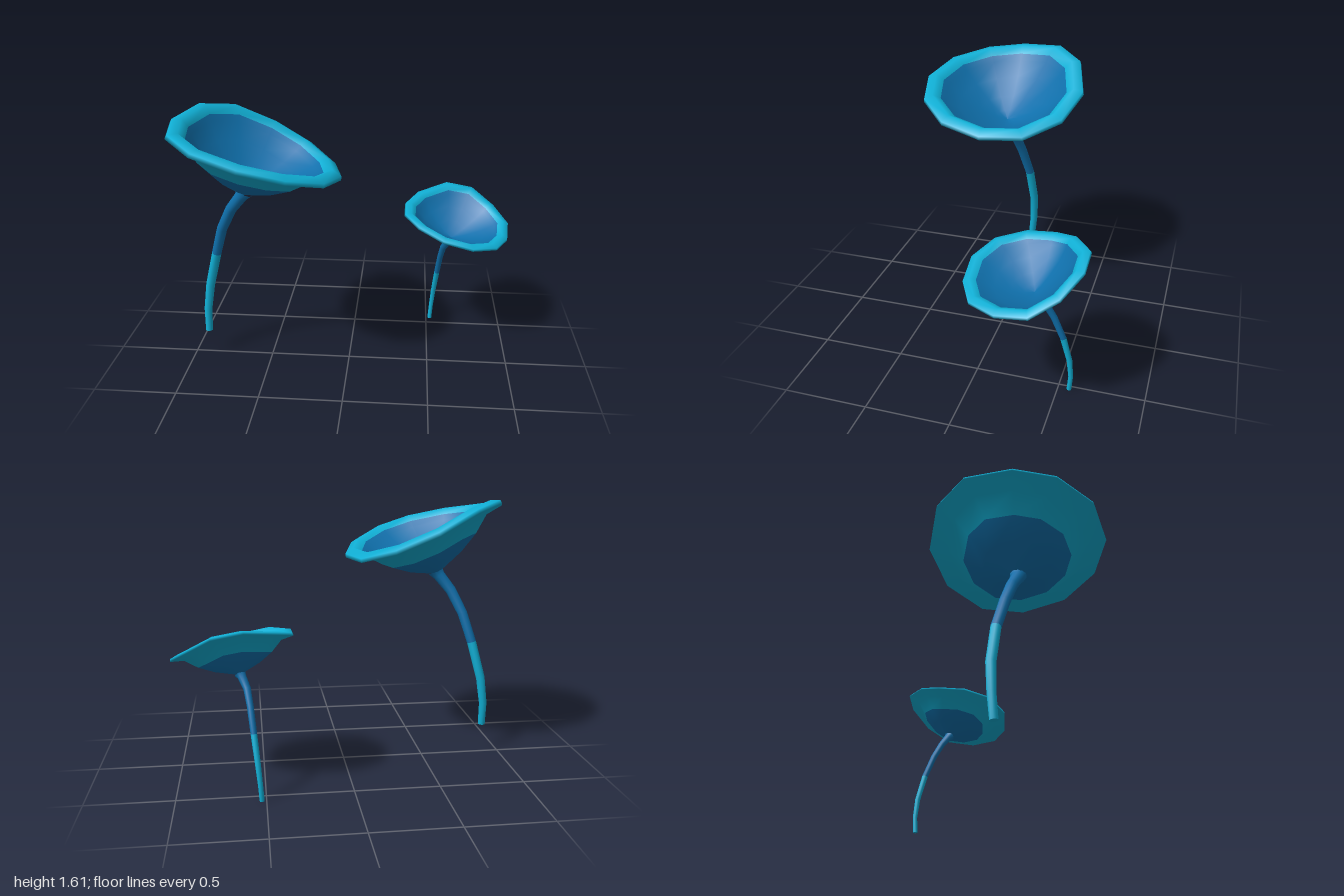
import * as THREE from 'three';

const light = new THREE.MeshStandardMaterial({ color: 0x10b0d6 });
light.name = 'turquoise';
const dark = new THREE.MeshStandardMaterial({ color: 0x0f70ac });
dark.name = 'deepBlue';

// Smooth skin through closed rings of points; isDark(i) colours the band above ring i
function loft(name, rings, isDark) {
  const n = rings[0].length, index = [];
  const geo = new THREE.BufferGeometry().setFromPoints(rings.flat());
  for (let i = 0; i < rings.length - 1; i++) {
    geo.addGroup(index.length, n * 6, isDark(i) ? 1 : 0);
    for (let j = 0; j < n; j++) {
      const k = (j + 1) % n;
      const a = i * n + j, b = i * n + k, c = a + n, d = b + n;
      index.push(a, c, b, b, c, d);
    }
  }
  geo.setIndex(index);
  geo.computeVertexNormals();
  const mesh = new THREE.Mesh(geo, [light, dark]);
  mesh.name = name;
  return mesh;
}

// Bent stem: path rows are x, y, z, radius
function stem(path, firstDark) {
  const pts = path.map(p => new THREE.Vector3(p[0], p[1], p[2]));
  const up = new THREE.Vector3(0, 1, 0);
  const rings = pts.map((p, i) => {
    const dir = pts[Math.min(i + 1, pts.length - 1)].clone()
      .sub(pts[Math.max(i - 1, 0)]).normalize();
    const q = new THREE.Quaternion().setFromUnitVectors(up, dir);
    return Array.from({ length: 10 }, (_, j) => {
      const a = j / 10 * Math.PI * 2;
      return new THREE.Vector3(Math.cos(a), 0, Math.sin(a))
        .multiplyScalar(path[i][3]).applyQuaternion(q).add(p);
    });
  });
  // Foot cap with its own ring so the edge stays sharp
  const foot = loft('stemFoot', [rings[0].map(() => pts[0].clone()), rings[0]], () => false);
  const g = new THREE.Group();
  g.name = 'stem';
  g.add(foot, loft('stemShaft', rings, i => i >= firstDark));
  return g;
}

// Funnel section: share of rim radius, depth below the rim
const profile = [
  [0.07, 1], [0.37, 0.74], [0.6, 0.46], [0.79, 0.13], [1, 0.04], // underside
  [0.99, -0.04], [0.88, -0.1], [0.79, 0.02],                     // lip
  [0.74, 0.14], [0.57, 0.4], [0.34, 0.66], [0.15, 0.83], [0, 0.9], // inside
];

// Tilted funnel cap from its wavy rim
function cap(rim, axis, depth) {
  const pts = rim.map(p => new THREE.Vector3(...p));
  const mid = new THREE.Vector3();
  pts.forEach(p => mid.addScaledVector(p, 1 / pts.length));
  const n = new THREE.Vector3(...axis).normalize();
  const rings = profile.map(([f, d]) =>
    pts.map(p => mid.clone().lerp(p, f).addScaledVector(n, -d * depth)));
  return loft('funnelCap', rings, i => i < 2 || i >= 7);
}

function mushroom(name, ...parts) {
  const g = new THREE.Group();
  g.name = name;
  g.add(...parts);
  return g;
}

export function createModel() {
  const model = new THREE.Group();
  model.name = 'funnelMushrooms';
  model.add(
    mushroom('largeMushroom',
      stem([
        [-0.9, 0.175, 0.03, 0.023], [-0.9, 0.32, 0.018, 0.025], [-0.875, 0.49, 0.012, 0.028],
        [-0.815, 0.72, 0.033, 0.029], [-0.76, 0.9, 0.075, 0.031], [-0.69, 1.04, 0.11, 0.033],
        [-0.62, 1.13, 0.137, 0.037], [-0.595, 1.165, 0.14, 0.05],
      ], 3),
      cap([
        [-0.49, 1.44, -0.38], [-0.26, 1.33, -0.3], [-0.09, 1.26, -0.1], [-0.03, 1.26, 0.15],
        [-0.1, 1.3, 0.41], [-0.28, 1.37, 0.59], [-0.52, 1.44, 0.65], [-0.78, 1.5, 0.57],
        [-0.96, 1.54, 0.37], [-1, 1.57, 0.13], [-0.91, 1.6, -0.14], [-0.73, 1.56, -0.31],
      ], [0.31, 0.95, 0], 0.29)),
    mushroom('smallMushroom',
      stem([
        [0.525, 0.002, -0.565, 0.014], [0.532, 0.1, -0.573, 0.014], [0.543, 0.22, -0.563, 0.016],
        [0.56, 0.38, -0.525, 0.018], [0.575, 0.52, -0.472, 0.019], [0.59, 0.61, -0.425, 0.021],
        [0.617, 0.67, -0.388, 0.025], [0.627, 0.685, -0.378, 0.033],
      ], 3),
      cap([
        [0.33, 0.91, -0.42], [0.41, 0.945, -0.55], [0.6, 0.98, -0.66], [0.77, 0.95, -0.66],
        [0.91, 0.86, -0.57], [1, 0.785, -0.43], [0.98, 0.75, -0.25], [0.9, 0.75, -0.09],
        [0.75, 0.77, -0.01], [0.57, 0.82, 0], [0.42, 0.87, -0.09], [0.33, 0.895, -0.25],
      ], [0.2, 1, 0.28], 0.18)),
  );
  return model;
}
